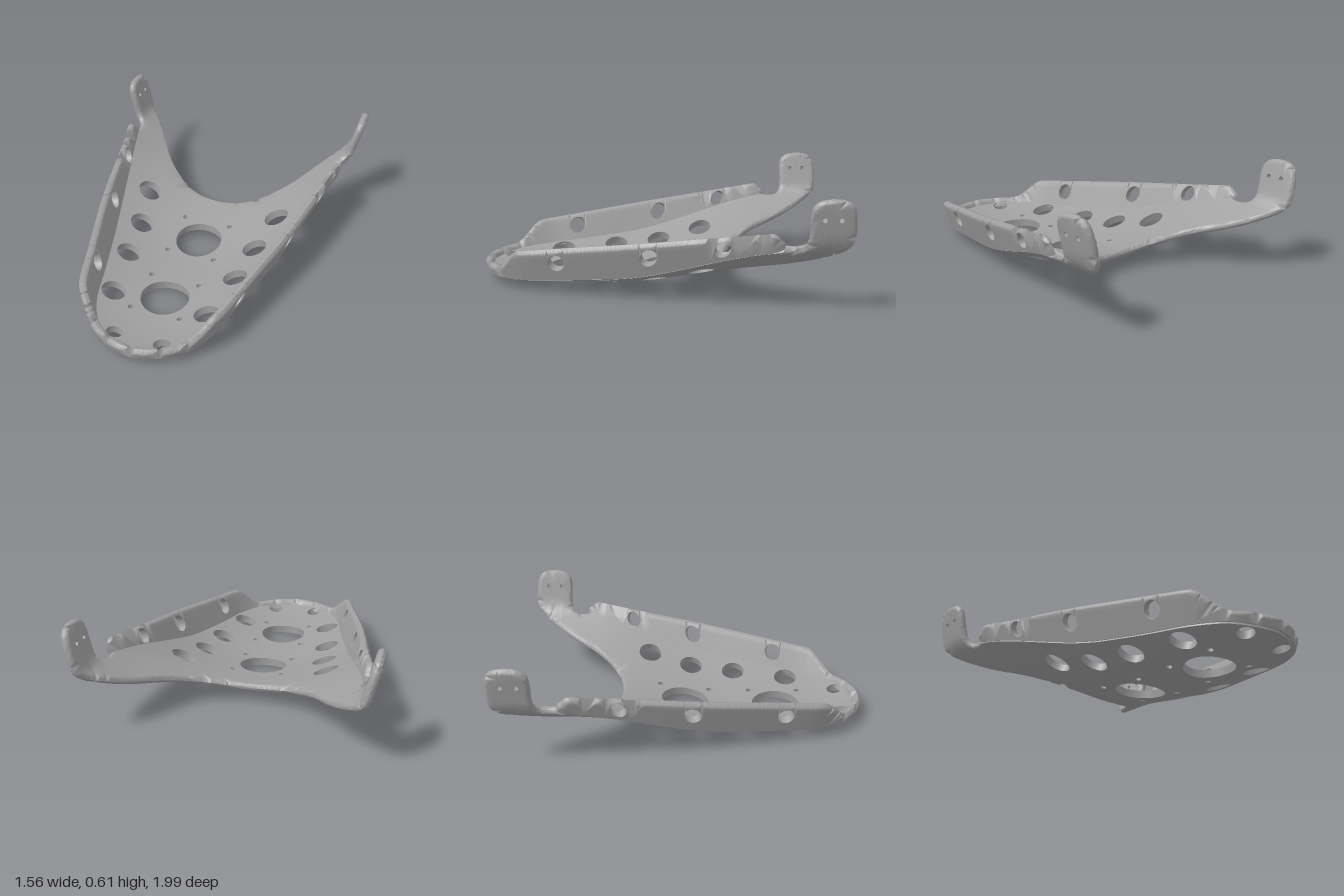
import * as THREE from 'three';

const V2 = (x, y) => new THREE.Vector2(x, y);
const { smoothstep, clamp, lerp } = THREE.MathUtils;
const HALF = 0.023; // half of the sheet thickness
const mirrorX = pts => pts.map(p => V2(-p.x, p.y)).reverse();

// Plan line (x, z) where the floor meets the side wall, left end - nose - right end
const halfEdge = [[0.125, 0.93], [0.25, 0.845], [0.335, 0.69], [0.395, 0.45], [0.51, 0], [0.6, -0.37], [0.675, -0.665]]
  .map(p => V2(...p));
const edge = new THREE.SplineCurve([...mirrorX(halfEdge), V2(0, 0.96), ...halfEdge]);
edge.arcLengthDivisions = 800;
const L = edge.getLength() / 2;
const edgeAt = s => clamp((s + L) / (2 * L), 0, 1);

// Height of the dished floor along the centre line, and its cross curve
const centreY = z => HALF + 0.09 * smoothstep(-z, -0.2, 0.6) + 0.05 * Math.max(0, (z - 0.65) / 0.35) ** 2;
const K = 0.5, BEND = 0.66, ARC = 0.1;
const A0 = Math.atan(2 * K * BEND), A1 = 1.33;

// Cross curve of the floor: a parabola that bends up into the ears
function crossCurve(u) {
  if (u <= BEND) return { x: u, y: K * u * u, a: Math.atan(2 * K * u) };
  const w = Math.min(u - BEND, ARC), rate = (A1 - A0) / ARC, a = A0 + rate * w;
  const rest = u - BEND - w;
  return {
    x: BEND + (Math.sin(a) - Math.sin(A0)) / rate + rest * Math.cos(a),
    y: K * BEND * BEND + (Math.cos(A0) - Math.cos(a)) / rate + rest * Math.sin(a), a
  };
}

function placeFloor(u, v, t) {
  const c = crossCurve(Math.abs(u)), side = Math.sign(u);
  return [side * (c.x - Math.sin(c.a) * t), centreY(-v) + c.y + Math.cos(c.a) * t, -v];
}

// Wall: leans outward from the floor edge
const LEAN = 0.35;
const baseY = p => centreY(p.y) + K * p.x * p.x;
function wallTop(z) {
  const y = z > 0.7 ? lerp(0.235, 0.11, smoothstep(z, 0.7, 0.87)) : 0.235 + 0.18 * (0.7 - z) / 1.3;
  return y - 0.05 * smoothstep(-z, 0.61, 0.67);
}
function placeWall(s, h, t) {
  const k = edgeAt(s), p = edge.getPointAt(k), d = edge.getTangentAt(k);
  const out = LEAN * h + t / Math.hypot(1, LEAN);
  return [p.x - d.y * out, baseY(p) + h - LEAN * t / Math.hypot(1, LEAN), p.y + d.x * out];
}

function distanceTo(line, x, y) {
  let best = Infinity;
  for (let i = 1; i < line.length; i++) {
    const a = line[i - 1], dx = line[i].x - a.x, dy = line[i].y - a.y;
    const k = clamp(((x - a.x) * dx + (y - a.y) * dy) / (dx * dx + dy * dy || 1), 0, 1);
    best = Math.min(best, Math.hypot(x - a.x - k * dx, y - a.y - k * dy));
  }
  return best;
}

// Flat shape with round holes, as a list of triangles of [x, y] corners
function flatTriangles(outline, holes) {
  const shape = new THREE.Shape(outline);
  for (const [x, y, r] of holes) {
    const n = r < 0.03 ? 12 : r < 0.1 ? 28 : 44;
    shape.holes.push(new THREE.Path(Array.from({ length: n }, (_, i) =>
      V2(x + r * Math.cos(i / n * 2 * Math.PI), y + r * Math.sin(i / n * 2 * Math.PI)))));
  }
  const flat = new THREE.ShapeGeometry(shape), pos = flat.attributes.position, idx = flat.index.array;
  return Array.from({ length: idx.length / 3 }, (_, i) =>
    [0, 1, 2].map(j => [pos.getX(idx[3 * i + j]), pos.getY(idx[3 * i + j])]));
}

// Bent sheet: flat triangles are refined, thickened and placed in space;
// the thickness rounds off towards the line given as roundLine
function bentSheet(stack, roundLine, place) {
  const verts = [], lookup = new Map(), tris = [];
  const vertex = p => {
    const key = p[0].toFixed(6) + ',' + p[1].toFixed(6);
    if (!lookup.has(key)) { lookup.set(key, verts.length); verts.push(p); }
    return lookup.get(key);
  };
  while (stack.length) {
    const tri = stack.pop();
    let cut = -1, longest = 0;
    for (let j = 0; j < 3; j++) {
      const a = tri[j], b = tri[(j + 1) % 3], len = Math.hypot(a[0] - b[0], a[1] - b[1]);
      if (len <= longest || len < 0.016) continue;
      if (len > 0.07 || distanceTo(roundLine, (a[0] + b[0]) / 2, (a[1] + b[1]) / 2) < 0.024) { cut = j; longest = len; }
    }
    if (cut < 0) {
      const t = tri.map(vertex);
      if (t[0] !== t[1] && t[1] !== t[2] && t[2] !== t[0]) tris.push(t);
      continue;
    }
    const a = tri[cut], b = tri[(cut + 1) % 3], c = tri[(cut + 2) % 3];
    const m = [(a[0] + b[0]) / 2, (a[1] + b[1]) / 2];
    stack.push([a, m, c], [m, b, c]);
  }

  const n = verts.length, points = [], faces = [], open = new Map();
  const half = verts.map(([x, y]) => {
    const q = Math.min(1, distanceTo(roundLine, x, y) / 0.023);
    return HALF * Math.sqrt(1 - (1 - q) ** 2);
  });
  for (const side of [1, -1]) verts.forEach(([x, y], i) => points.push(...place(x, y, side * half[i])));
  for (const [a, b, c] of tris) {
    faces.push(a, b, c, n + a, n + c, n + b);
    for (const [p, q] of [[a, b], [b, c], [c, a]])
      if (!open.delete(q + '_' + p)) open.set(p + '_' + q, [p, q]);
  }
  // Walls of the holes and cut edges, with their own vertices for a sharp rim
  const rim = new Map();
  const rimVertex = i => {
    if (!rim.has(i)) {
      rim.set(i, points.length / 3);
      points.push(...points.slice(3 * i, 3 * i + 3));
    }
    return rim.get(i);
  };
  for (const [a, b] of open.values()) {
    if (half[a] + half[b] < 1e-4) continue;
    const ta = rimVertex(a), tb = rimVertex(b), ba = rimVertex(n + a), bb = rimVertex(n + b);
    faces.push(ba, bb, tb, ba, tb, ta);
  }
  const geo = new THREE.BufferGeometry();
  geo.setAttribute('position', new THREE.Float32BufferAttribute(points, 3));
  geo.setIndex(faces);
  geo.computeVertexNormals();
  return geo;
}

export function createModel() {
  const group = new THREE.Group();
  group.name = 'mountingTray';
  const grey = new THREE.MeshStandardMaterial({ color: 0xa0a0a0 });
  grey.name = 'grey';
  const add = (geo, name) => {
    const mesh = new THREE.Mesh(geo, grey);
    mesh.name = name;
    group.add(mesh);
  };

  // Floor with ears: front edge, then ear and rear curve
  const front = edge.getSpacedPoints(70).map(p => V2(p.x, -p.y));
  const rearHalf = new THREE.SplineCurve([
    [0.675, -0.665], [0.672, -0.71], [0.69, -0.752], [0.75, -0.775], [0.89, -0.775], [0.94, -0.8], [0.96, -0.85],
    [0.96, -0.92], [0.94, -0.97], [0.88, -0.995], [0.77, -1], [0.7, -0.98], [0.6, -0.875], [0.5, -0.745],
    [0.4, -0.6], [0.3, -0.5], [0.2, -0.435], [0.1, -0.403], [0, -0.395]
  ].map(([x, z]) => V2(x, -z))).getPoints(54);
  const rear = [...rearHalf, ...mirrorX(rearHalf).slice(1)];
  const floorHoles = [[0, 0.03, 0.137], [0, -0.5, 0.137]];
  for (const side of [1, -1])
    for (const [x, z, r] of [
      [0.145, -0.18, 0.016], [0.145, 0.11, 0.016], [0.145, 0.35, 0.016], [0.145, 0.64, 0.016],
      [0.415, -0.255, 0.068], [0.36, 0, 0.068], [0.33, 0.26, 0.068], [0.275, 0.58, 0.068],
      [0.135, 0.865, 0.046], [0.86, -0.84, 0.013], [0.86, -0.92, 0.013]
    ]) floorHoles.push([side * x, -z, r]);
  add(bentSheet(flatTriangles([...front, ...rear.slice(1, -1)], floorHoles), rear, placeFloor), 'floorWithEars');

  // Raised wall round the sides and nose, laid out in short bays with one hole at most
  const wallHoles = [];
  for (const [z, y, r] of [[0.51, 0.19, 0.047], [0.01, 0.257, 0.047], [-0.365, 0.327, 0.043]]) {
    let s = 0;
    while (edge.getPointAt(edgeAt(s)).y > z) s += 0.005;
    const h = y - baseY(edge.getPointAt(edgeAt(s)));
    wallHoles.push([s, h, r], [-s, h, r]);
  }
  const stops = [-L, 0, L, ...wallHoles.flatMap(([s]) => [s - 0.07, s + 0.07])].sort((a, b) => a - b);
  const cuts = [-L];
  for (let i = 1; i < stops.length; i++) {
    const parts = Math.ceil((stops[i] - stops[i - 1]) / 0.15);
    for (let j = 1; j <= parts; j++) cuts.push(lerp(stops[i - 1], stops[i], j / parts));
  }
  const topPoint = s => {
    const p = edge.getPointAt(edgeAt(s));
    return V2(s, wallTop(p.y) - baseY(p));
  };
  const wallLine = [V2(-L, -0.01)], wallTriangles = [];
  for (let i = 1; i < cuts.length; i++) {
    const a = cuts[i - 1], b = cuts[i];
    const top = [0, 1, 2, 3, 4, 5, 6].map(j => topPoint(j === 6 ? b : lerp(a, b, j / 6)));
    wallLine.push(...top);
    wallTriangles.push(...flatTriangles([V2(a, -0.01), V2(b, -0.01), ...top.reverse()],
      wallHoles.filter(([s]) => s > a && s < b)));
  }
  wallLine.push(V2(L, -0.01));
  add(bentSheet(wallTriangles, wallLine, placeWall), 'sideWall');
  return group;
}
